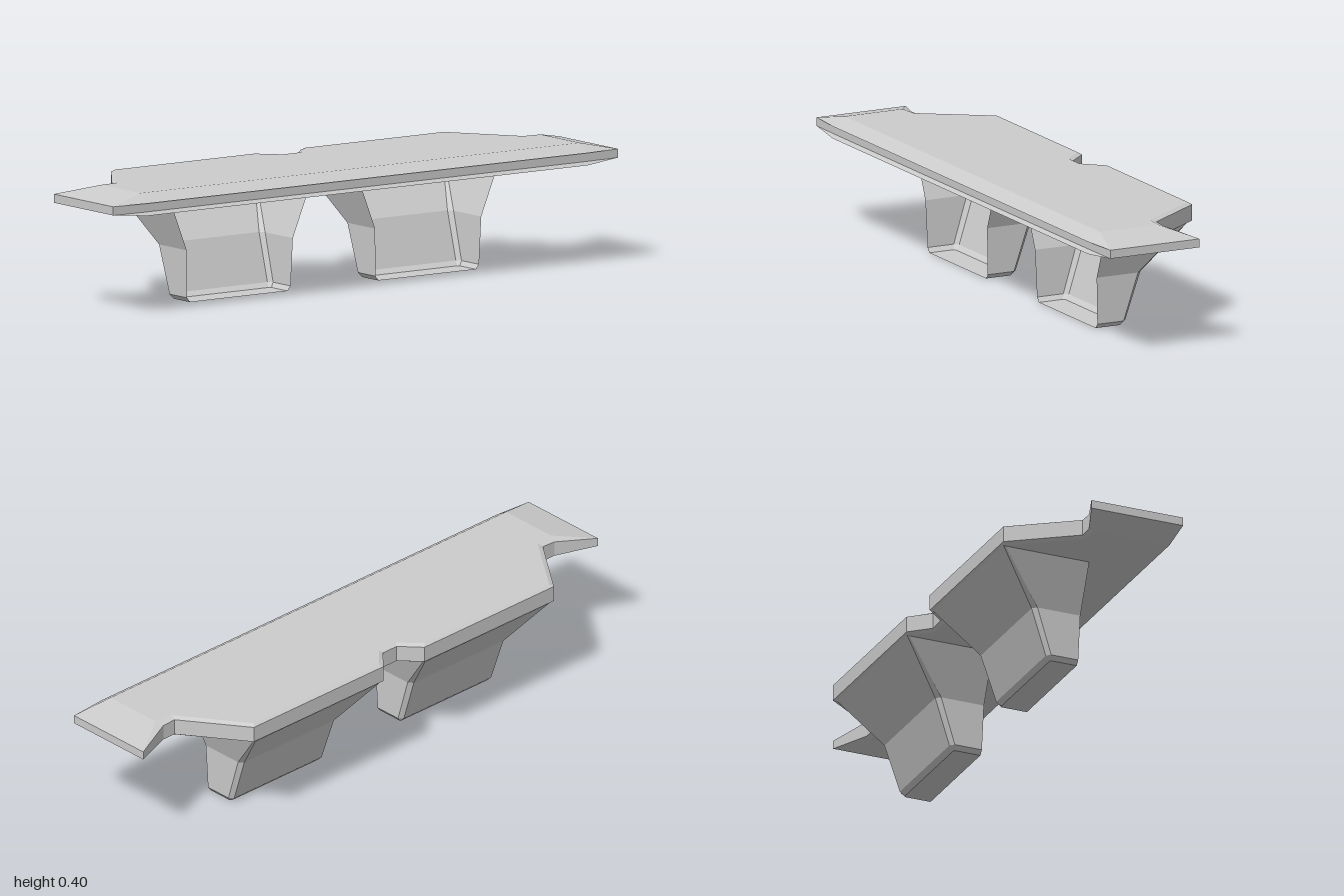
import * as THREE from 'three';

// Collects flat triangles, skipping collapsed ones.
function makeSurface() {
  const pos = [];
  const tri = (a, b, c) => {
    const n = b.clone().sub(a).cross(c.clone().sub(a));
    if (n.lengthSq() < 1e-14) return;
    for (const p of [a, b, c]) pos.push(p.x, p.y, p.z);
  };
  const quad = (a, b, c, d) => { tri(a, b, c); tri(a, c, d); };
  // Flat horizontal lid over a ring, facing up (1) or down (-1)
  const cap = (ring, facing) => {
    const flat = ring.map((p) => new THREE.Vector2(p.x, -p.z));
    for (const [i, j, k] of THREE.ShapeUtils.triangulateShape(flat, [])) {
      const area = THREE.ShapeUtils.area([flat[i], flat[j], flat[k]]);
      if (area * facing > 0) tri(ring[i], ring[j], ring[k]);
      else tri(ring[i], ring[k], ring[j]);
    }
  };
  const mesh = (name, side) => {
    const geometry = new THREE.BufferGeometry();
    geometry.setAttribute('position', new THREE.Float32BufferAttribute(pos, 3));
    geometry.computeVertexNormals();
    const m = new THREE.Mesh(geometry,
      new THREE.MeshStandardMaterial({ color: 0xcccccc, flatShading: true, side }));
    m.name = name;
    return m;
  };
  return { quad, cap, mesh };
}

// Bevelled deck: stacked outline rings, one half mirrored in z
function makeDeck() {
  const TOP = 0.4, BOTTOM = 0.332;
  // top x, z | outer x, z, upper y, lower y | bottom x, z
  const half = [
    [-0.168, 0.036, -0.18, 0.03, 0.393, 0.34, -0.168, 0.036],
    [-0.234, 0.1, -0.245, 0.09, 0.393, 0.34, -0.234, 0.1],
    [-0.234, 0.65, -0.245, 0.66, 0.393, 0.34, -0.234, 0.65],
    [-0.015, 0.805, -0.035, 0.81, 0.393, 0.34, -0.02, 0.805],
    [-0.01, 0.87, -0.035, 0.86, 0.391, 0.34, -0.02, 0.87],
    [-0.01, 0.87, -0.09, 1, 0.372, 0.344, -0.02, 0.87],
    [0.2, 0.87, 0.232, 1, 0.372, 0.344, 0.243, 0.87],
    [0.2, 0.87, 0.243, 0.87, 0.372, 0.343, 0.243, 0.87],
  ];
  const mirrored = half.map(([a, b, c, d, e, f, g, h]) => [a, -b, c, -d, e, f, g, -h]).reverse();
  const outline = [...half, ...mirrored];
  const v = (x, y, z) => new THREE.Vector3(x, y, z);
  const groove = (x) => Math.min(x, 0.232); // long straight edge is undercut
  const rings = [
    outline.map((p) => v(p[0], TOP, p[1])),
    outline.map((p) => v(p[2], p[4], p[3])),
    outline.map((p) => v(groove(p[2]), p[4], p[3])),
    outline.map((p) => v(groove(p[2]), p[5], p[3])),
    outline.map((p) => v(p[6], BOTTOM, p[7])),
  ];
  const s = makeSurface();
  for (let r = 0; r < rings.length - 1; r++) {
    for (let i = 0; i < outline.length; i++) {
      const j = (i + 1) % outline.length;
      s.quad(rings[r][i], rings[r + 1][i], rings[r + 1][j], rings[r][j]);
    }
  }
  s.cap(rings[0], 1);
  s.cap(rings[4], -1);
  return s.mesh('deck', THREE.DoubleSide);
}

// Bracket: thin chamfered U-shaped shell, open towards +x, with a floor
function makeBracket(name, z) {
  // y, open edge x, chamfer x, back x, outer half width, back half width
  const levels = [
    [0.334, 0.062, -0.233, -0.238, 0.276, 0.273],
    [0.17, 0.06, -0.09, -0.105, 0.21, 0.197],
    [0.015, 0.055, -0.04, -0.053, 0.205, 0.192],
    [0, 0.055, -0.033, -0.038, 0.193, 0.187],
  ];
  const rings = levels.map(([y, open, side, back, wide, narrow]) => [
    [open, -wide], [side, -wide], [back, -narrow],
    [back, narrow], [side, wide], [open, wide],
  ].map(([x, dz]) => new THREE.Vector3(x, y, dz)));
  const s = makeSurface();
  for (let r = 0; r < rings.length - 1; r++) {
    for (let i = 0; i < 5; i++) {
      s.quad(rings[r][i], rings[r + 1][i], rings[r + 1][i + 1], rings[r][i + 1]);
    }
  }
  s.cap(rings[3], -1);
  const bracket = s.mesh(name, THREE.DoubleSide);
  bracket.position.z = z;
  return bracket;
}

export function createModel() {
  const group = new THREE.Group();
  group.name = 'bracketedDeck';
  group.add(makeDeck());
  group.add(makeBracket('frontBracket', 0.373));
  group.add(makeBracket('backBracket', -0.373));
  return group;
}
